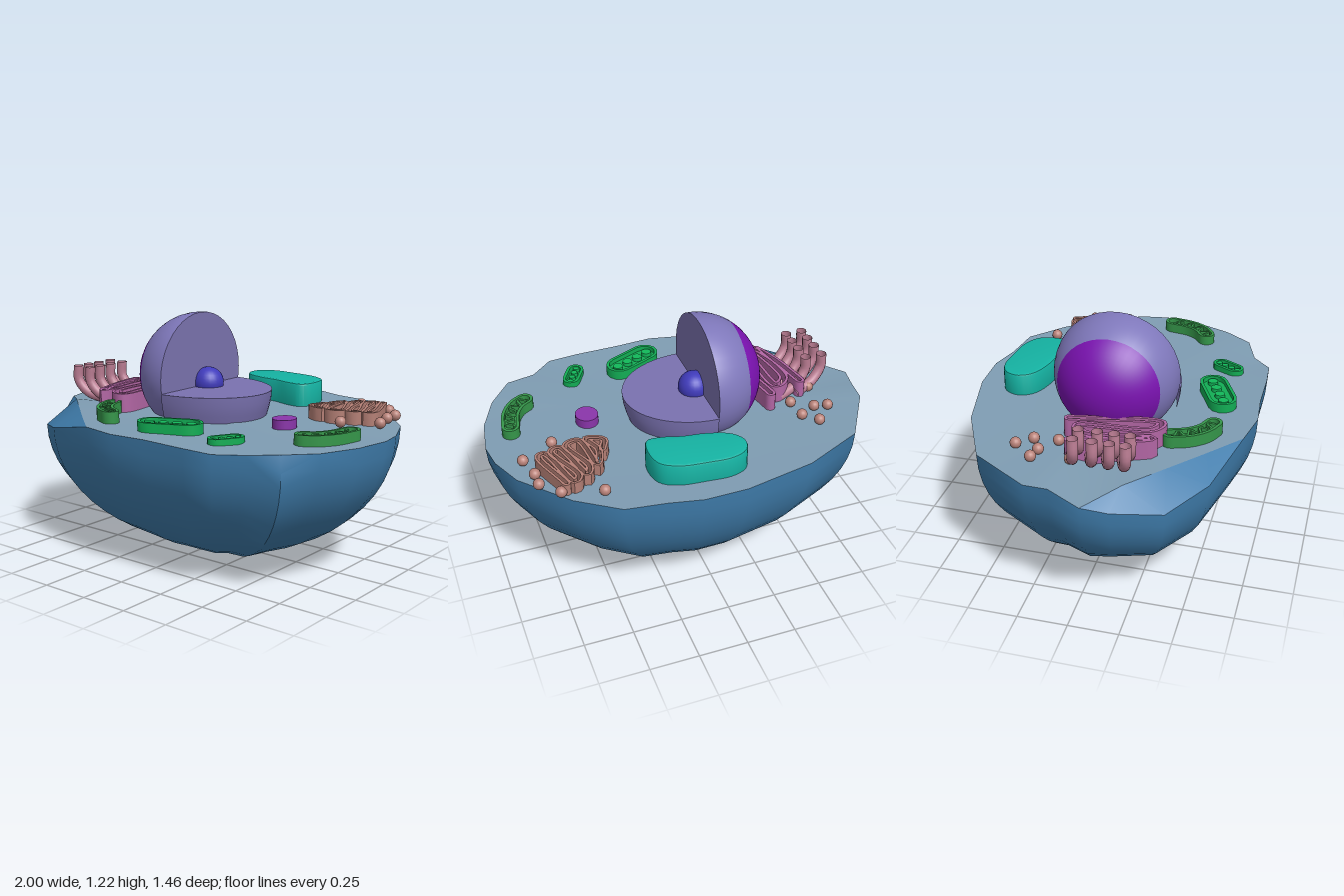
import * as THREE from 'three';
import { toCreasedNormals } from 'three/addons/utils/BufferGeometryUtils.js';

const BASE = 0.7; // height of the cut surface
const mats = {};
const mat = (color) => (mats[color] ??= new THREE.MeshStandardMaterial({ color, side: THREE.DoubleSide }));
const V2 = (x, z) => new THREE.Vector2(x, z);

function add(parent, name, geometry, color, x = 0, y = 0, z = 0) {
  const mesh = new THREE.Mesh(geometry, mat(color));
  mesh.name = name;
  mesh.position.set(x, y, z);
  parent.add(mesh);
  return mesh;
}

function group(parent, name) {
  const g = new THREE.Group();
  g.name = name;
  parent.add(g);
  return g;
}

// Skin a list of rings of [x, y, z]; each ring has the same number of points
function loft(rings, closed, crease) {
  const n = rings[0].length, index = [];
  for (let r = 0; r < rings.length - 1; r++)
    for (let i = 0; i < (closed ? n : n - 1); i++) {
      const a = r * n + i, b = r * n + ((i + 1) % n);
      index.push(a, b, a + n, b, b + n, a + n);
    }
  const geo = new THREE.BufferGeometry();
  geo.setAttribute('position', new THREE.Float32BufferAttribute(rings.flat(2), 3));
  geo.setIndex(index);
  return toCreasedNormals(geo, crease);
}

// Smooth plan path through a few [x, z] points
function smooth(points, n, closed = false) {
  const curve = new THREE.CatmullRomCurve3(points.map(([x, z]) => new THREE.Vector3(x, 0, z)), closed);
  const list = curve.getSpacedPoints(n).map((p) => V2(p.x, p.z));
  if (closed) list.pop();
  return list;
}

function normalAt(path, i, closed) {
  const n = path.length;
  const a = closed ? path[(i + n - 1) % n] : path[Math.max(i - 1, 0)];
  const b = closed ? path[(i + 1) % n] : path[Math.min(i + 1, n - 1)];
  const t = b.clone().sub(a).normalize();
  return V2(-t.y, t.x);
}

// Closed round-ended outline of a band of width w along a path
function outline(path, w) {
  const last = path.length - 1, r = w / 2;
  const side = (s) => path.map((p, i) => p.clone().addScaledVector(normalAt(path, i), s * r));
  const cap = (i, from) => [1, 2, 3, 4, 5].map((k) => {
    const n = normalAt(path, i).multiplyScalar(from * r);
    return n.rotateAround(V2(0, 0), -k * Math.PI / 6).add(path[i]);
  });
  return [...side(1), ...cap(last, 1), ...side(-1).reverse(), ...cap(0, -1)];
}

// Upright wall of thickness t following a plan path
function wall(path, t, y0, y1, closed = true) {
  const offset = (s, y) => path.map((p, i) => {
    const q = p.clone().addScaledVector(normalAt(path, i, closed), s * t / 2);
    return [q.x, y, q.y];
  });
  return loft([offset(1, y0), offset(1, y1), offset(-1, y1), offset(-1, y0)], closed, 0.7);
}

// Solid slab from a plan outline
function slab(points, y0, y1, bevel = 0) {
  const shape = new THREE.Shape(points.map((p) => V2(p.x, -p.y)));
  const geo = new THREE.ExtrudeGeometry(shape, {
    depth: y1 - y0 - bevel, bevelEnabled: bevel > 0, bevelSize: bevel, bevelThickness: bevel,
    bevelOffset: -bevel, bevelSegments: 2,
  });
  geo.rotateX(-Math.PI / 2).translate(0, y0, 0);
  return toCreasedNormals(geo, 0.6);
}

// Path running up and down a list of strokes [xBack, zBack, xFront, zFront]
const serpentine = (strokes) => smooth(strokes.flatMap(([a, b, c, d], i) =>
  i % 2 ? [[c, d], [a, b]] : [[a, b], [c, d]]), 140);

function cellBody(root) {
  // Irregular rim: x, z, y and, where the edge is crumpled, an inset cut edge
  const rim = [
    [-1, .07, .68], [-.95, -.09, .72], [-.94, -.21, .715], [-.76, -.5, .72], [-.45, -.65, .725],
    [-.09, -.73, .73], [.13, -.735, .73], [.3, -.695, .725], [.5, -.67, .725], [.7, -.52, .715],
    [.91, -.28, .71], [.98, -.11, .705], [1, .02, .705], [.97, .21, .705], [.89, .4, .705],
    [.79, .56, .63, .775, .545], [.62, .6, .695], [.51, .695, .7], [.35, .705, .705], [.11, .705, .71],
    [-.08, .72, .71], [-.28, .68, .71], [-.62, .58, .64, -.46, .53], [-.845, .42, .6, -.64, .375],
    [-.94, .19, .63, -.82, .22],
  ];
  const edge = rim.map(([x, z, y, cx, cz]) => (cx === undefined ? [x, y, z] : [cx, .71, cz]));
  const rings = [edge];
  for (let k = 0; k <= 14; k++) {
    const a = (1 - k / 14) * Math.PI / 2;
    rings.push(rim.map(([x, z, y]) => [x * Math.sin(a), y * (1 - Math.cos(a)), z * Math.sin(a)]));
  }
  add(root, 'cellBowl', loft(rings, true, 0.8), 0x3f7cab);
  const centre = edge.map(() => [0, BASE + .005, 0]);
  add(root, 'cutSurface', loft([centre, edge], true, 0.5), 0x7f9db3);
}

function nucleus(root) {
  const g = group(root, 'nucleus'), x = -.105, R = .32;
  const half = (name, from, to, color) => {
    const geo = new THREE.SphereGeometry(R, 40, 14, 0, Math.PI * 2, from, to - from);
    add(g, name, geo.rotateZ(Math.PI / 2), color, x, .9, .01);
  };
  half('nucleusPurpleSide', 0, Math.PI * .3, 0x7a12b0);
  half('nucleusShell', Math.PI * .3, Math.PI / 2, 0x7f78bb);
  add(g, 'nucleusCutFace', new THREE.CircleGeometry(R, 40).rotateY(Math.PI / 2), 0x7a72ae, x, .9, .01);
  const profile = [V2(.9, .68), V2(.95, .74), V2(.98, .79), V2(.99, .837), V2(0, .837)];
  const base = new THREE.LatheGeometry(profile, 28, 0, Math.PI).scale(.395, 1, R);
  add(g, 'nucleusBase', toCreasedNormals(base, 0.7), 0x7a72b0, x, 0, .01);
  add(g, 'nucleolus', new THREE.SphereGeometry(.08, 24, 16), 0x403bbb, -.078, .855, -.015);
}

// Capsule organelle: floor, raised rim and inner details
function capsule(root, name, path, w, top, color) {
  const g = group(root, name);
  add(g, 'floor', slab(outline(path, w - .01), BASE - .02, top - .025), color);
  add(g, 'rim', wall(outline(path, w - .016), .016, BASE - .02, top), color);
  return g;
}

function mitochondrion(root, points, w, top) {
  const path = smooth(points, 16), color = 0x35964a;
  const g = capsule(root, 'mitochondrion', path, w, top, color);
  const folds = path.map((p, i) => p.clone().addScaledVector(normalAt(path, i), (i % 4 < 2 ? 1 : -1) * w * .22));
  add(g, 'innerFolds', wall(folds, .012, BASE, top - .005, false), color);
}

function chloroplast(root, a, b, w, top, r, spread) {
  const g = capsule(root, 'chloroplast', smooth([a, b], 6), w, top, 0x12ae55);
  for (let i = 0; i < 4; i++) {
    const t = .5 + (i / 3 - .5) * spread;
    add(g, 'disc', new THREE.CylinderGeometry(r, r, .06, 16), 0x12b85a,
      a[0] + (b[0] - a[0]) * t, top - .035, a[1] + (b[1] - a[1]) * t);
  }
}

export function createModel() {
  const root = new THREE.Group();
  root.name = 'cellModel';
  cellBody(root);
  nucleus(root);

  // Bean-shaped vacuole
  const bean = smooth([[-.165, -.5], [-.14, -.575], [-.06, -.612], [.07, -.608], [.2, -.59], [.285, -.54],
    [.31, -.44], [.285, -.345], [.2, -.345], [.11, -.37], [0, -.385], [-.12, -.43]], 48, true);
  add(root, 'vacuole', slab(bean, BASE - .02, .838, .012), 0x15b3a3);

  mitochondrion(root, [[-.415, .35], [-.385, .43], [-.33, .495], [-.26, .53]], .085, .77);
  mitochondrion(root, [[.855, .09], [.83, .2], [.785, .27], [.735, .305]], .09, .757);
  chloroplast(root, [.01, .525], [.175, .45], .145, .757, .026, 1.15);
  chloroplast(root, [.405, .525], [.45, .445], .09, .73, .017, 1.4);

  // Folded membranes
  const rough = serpentine([[-.645, -.08, -.6, .14], [-.575, -.03, -.54, .29],
    [-.51, -.08, -.465, .27], [-.455, -.14, -.39, .3]]);
  add(root, 'roughMembrane', wall(outline(rough, .036), .015, BASE - .02, .805), 0xb266a4);
  const stack = serpentine([[.48, -.26, .455, -.19], [.5, -.26, .535, -.155], [.535, -.365, .575, -.155],
    [.575, -.37, .64, -.175], [.6, -.42, .68, -.18], [.64, -.42, .72, -.2],
    [.67, -.455, .755, -.205], [.71, -.455, .785, -.215]]);
  add(root, 'membraneStack', wall(outline(stack, .028), .012, BASE - .02, .775), 0xb58076);

  // Upturned open tubes, two per row
  const tubes = group(root, 'smoothTubes');
  for (const z of [-.02, .07, .15, .225])
    for (const dx of [0, .09]) {
      const curve = new THREE.CatmullRomCurve3([[-.79, .9, 0], [-.79, .82, 0], [-.735, .755, -.02], [-.62, .725, -.06]]
        .map(([x, y, dz]) => new THREE.Vector3(x + dx, y, z + dz)));
      add(tubes, 'tube', new THREE.TubeGeometry(curve, 14, .027, 12), 0xbb7d93);
    }

  // Small round vesicles
  const vesicles = group(root, 'vesicles');
  for (const [x, z] of [[-.635, -.35], [-.73, -.245], [-.66, -.23], [-.57, -.28], [-.56, -.16], [-.705, -.06],
    [.545, -.52], [.74, -.465], [.825, -.375], [.825, -.295], [.855, -.175], [.69, -.08]])
    add(vesicles, 'vesicle', new THREE.SphereGeometry(.028, 16, 12), 0xb98279, x, .737, z);

  const disc = new THREE.CylinderGeometry(.058, .058, .07, 28).scale(1, 1, 1.12);
  add(root, 'lysosome', disc, 0x8a35aa, .467, .717, .073);
  return root;
}
